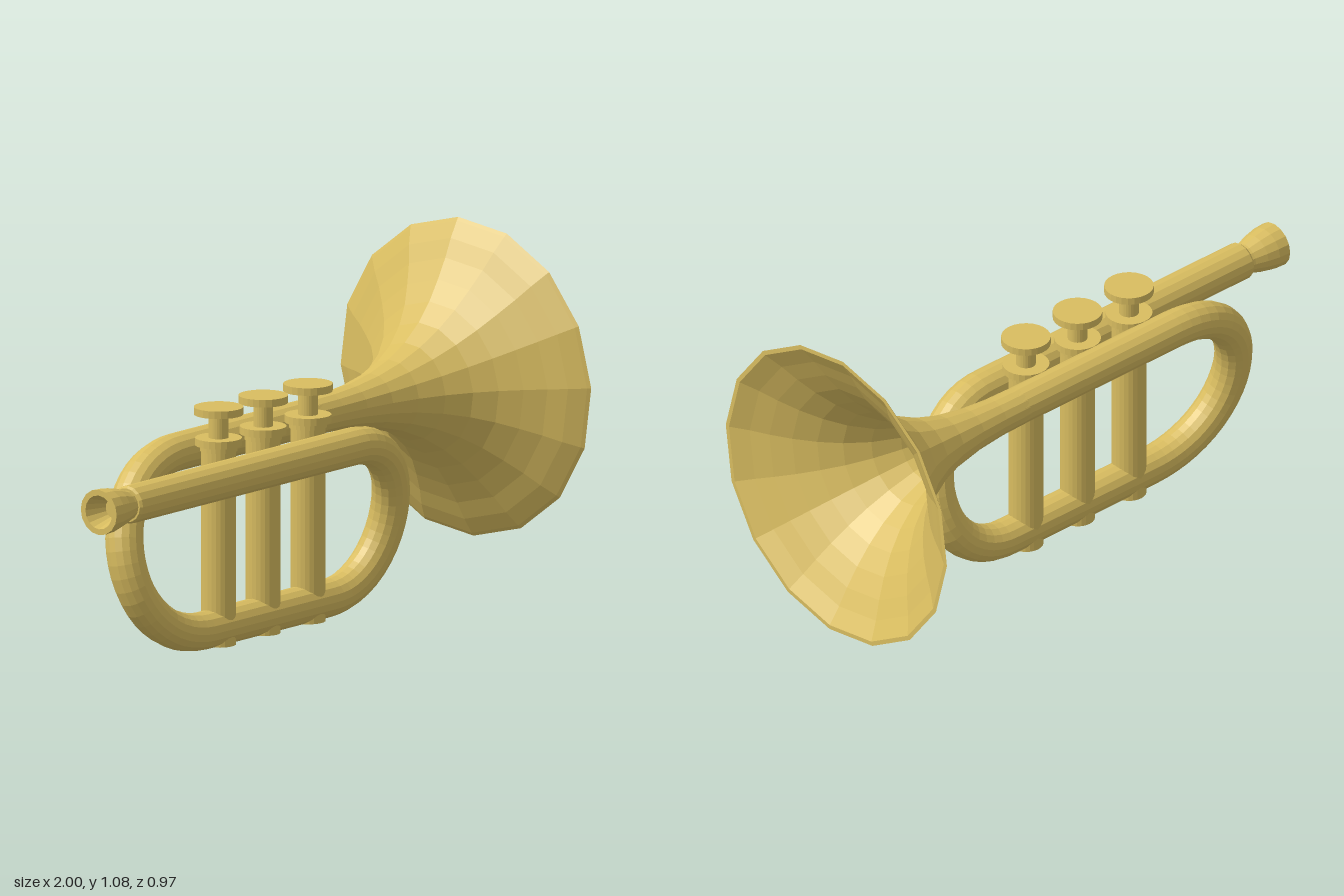
import * as THREE from 'three';

const brass = new THREE.MeshStandardMaterial({ color: 0xd9bd60, flatShading: true });
brass.name = 'brass';

const V = (x, y, z) => new THREE.Vector3(x, y, z);

function add(parent, name, geometry, x = 0, y = 0, z = 0) {
  const mesh = new THREE.Mesh(geometry, brass);
  mesh.name = name;
  mesh.position.set(x, y, z);
  parent.add(mesh);
  return mesh;
}

// Lathe around the x axis; profile pairs are [radius, x]
function latheX(parent, name, profile, y, z, sides, phase = 0) {
  const points = profile.map(([r, x]) => new THREE.Vector2(r, x));
  const geometry = new THREE.LatheGeometry(points, sides, phase);
  geometry.rotateZ(-Math.PI / 2);
  return add(parent, name, geometry, 0, y, z);
}

export function createModel() {
  const group = new THREE.Group();
  group.name = 'trumpet';

  const R = 0.058;
  const topY = 0.593, pipeY = 0.54, lowY = R;
  const frontZ = 0.207, midZ = 0.107;

  // Wound tubing: lead pipe, right bend, lower run, left bend, bell run
  const path = new THREE.CurvePath();
  path.add(new THREE.LineCurve3(V(-0.86, pipeY, frontZ), V(0.2, pipeY, frontZ)));
  path.add(new THREE.CubicBezierCurve3(
    V(0.2, pipeY, frontZ), V(0.523, pipeY, frontZ), V(0.523, lowY, midZ), V(0.2, lowY, midZ)));
  path.add(new THREE.LineCurve3(V(0.2, lowY, midZ), V(-0.38, lowY, midZ)));
  path.add(new THREE.CubicBezierCurve3(
    V(-0.38, lowY, midZ), V(-0.784, lowY, midZ), V(-0.784, topY, 0), V(-0.38, topY, 0)));
  path.add(new THREE.LineCurve3(V(-0.38, topY, 0), V(0.27, topY, 0)));
  add(group, 'tubing', new THREE.TubeGeometry(path, 110, R, 16, false));

  // Flared bell: outer wall, rim, then inner wall back to the throat
  latheX(group, 'bell', [
    [0.058, 0.25], [0.06, 0.35], [0.068, 0.45], [0.085, 0.55], [0.112, 0.64],
    [0.15, 0.72], [0.2, 0.79], [0.255, 0.845], [0.315, 0.89], [0.375, 0.93],
    [0.43, 0.96], [0.478, 0.992], [0.488, 1],
    [0.474, 1], [0.42, 0.965], [0.365, 0.935], [0.305, 0.897], [0.245, 0.85],
    [0.19, 0.795], [0.14, 0.725], [0.1, 0.64], [0.073, 0.55], [0.055, 0.45],
    [0.044, 0.35], [0.033, 0.25], [0, 0.25],
  ], topY, 0, 16, THREE.MathUtils.degToRad(-3.5));

  // Hollow mouthpiece with a collar closing the lead pipe
  latheX(group, 'mouthpiece', [
    [0, -0.93], [0.03, -0.93], [0.052, -1], [0.07, -1], [0.068, -0.96],
    [0.06, -0.92], [0.048, -0.88], [0.046, -0.868], [0.052, -0.868], [0.058, -0.86],
    [0.058, -0.85],
  ], pipeY, frontZ, 16);

  // Three piston valves: [part, radius, bottom, top]
  const valveParts = [
    ['casing', 0.053, 0.003, 0.6],
    ['collar', 0.057, 0.6, 0.617],
    ['flange', 0.071, 0.617, 0.64],
    ['stem', 0.03, 0.64, 0.712],
    ['button', 0.075, 0.712, 0.735],
  ];
  [-0.305, -0.093, 0.12].forEach((x, i) => {
    const valve = new THREE.Group();
    valve.name = `valve${i + 1}`;
    valve.position.set(x, 0, 0.105);
    for (const [name, r, y0, y1] of valveParts) {
      add(valve, name, new THREE.CylinderGeometry(r, r, y1 - y0, 24), 0, (y0 + y1) / 2, 0);
    }
    group.add(valve);
  });

  return group;
}
